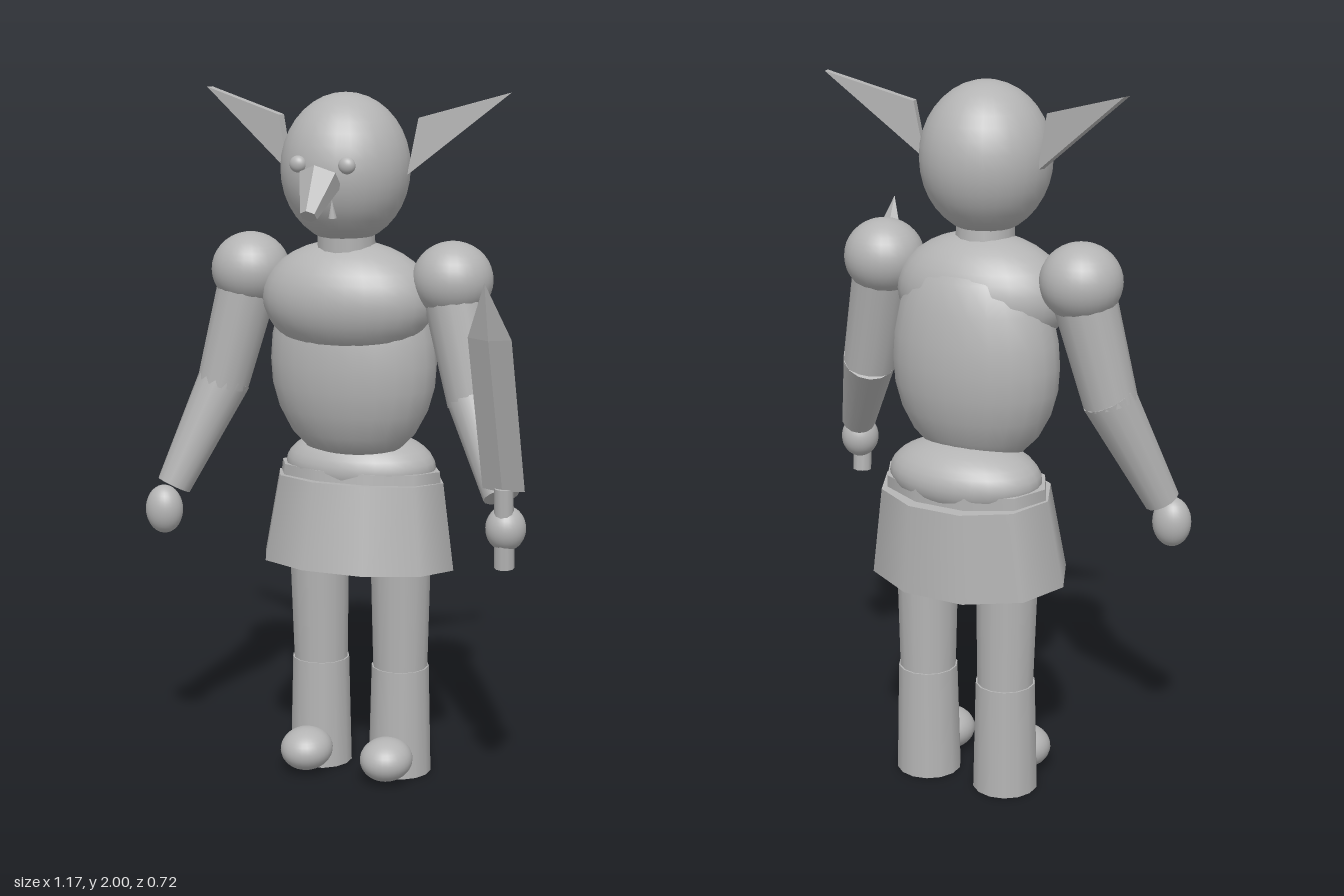
import * as THREE from 'three';

const grey = new THREE.MeshStandardMaterial({ color: 0xb4b4b4 });
grey.name = 'plain grey';

const V = (x, y, z) => new THREE.Vector3(x, y, z);

function add(parent, name, geometry, x = 0, y = 0, z = 0) {
  const mesh = new THREE.Mesh(geometry, grey);
  mesh.name = name;
  mesh.position.set(x, y, z);
  parent.add(mesh);
  return mesh;
}

// Faceted normals for the hard-edged parts
function faceted(geometry) {
  const g = geometry.index ? geometry.toNonIndexed() : geometry;
  g.computeVertexNormals();
  return g;
}

function ellipsoid(parent, name, c, r) {
  const mesh = add(parent, name, new THREE.SphereGeometry(1, 28, 18), ...c);
  mesh.scale.set(...r);
  return mesh;
}

// Tapered cylinder from point a to point b
function limb(parent, name, a, b, ra, rb, sides = 14, hard = false) {
  const dir = b.clone().sub(a);
  const g = new THREE.CylinderGeometry(rb, ra, dir.length(), sides);
  const mesh = add(parent, name, hard ? faceted(g) : g);
  mesh.position.copy(a).lerp(b, 0.5);
  mesh.quaternion.setFromUnitVectors(V(0, 1, 0), dir.normalize());
  return mesh;
}

function buildHead(body) {
  ellipsoid(body, 'head', [0, 1.79, -0.05], [0.181, 0.208, 0.183]);
  limb(body, 'neck', V(0, 1.5, -0.06), V(0, 1.64, -0.05), 0.085, 0.08);
  limb(body, 'nose', V(0, 1.775, 0.135), V(0, 1.683, 0.22), 0.06, 0.024, 6, true);
  for (const s of [1, -1]) {
    ellipsoid(body, 'eye', [s * 0.071, 1.812, 0.122], [0.024, 0.023, 0.018]);
    const tooth = add(body, 'tooth', new THREE.ConeGeometry(0.012, 0.05, 8), s * 0.03, 1.695, 0.125);
    tooth.rotation.x = 0.1;
    // Long pointed ear, swept backwards
    const shape = new THREE.Shape([
      new THREE.Vector2(0, 1.775),
      new THREE.Vector2(s * 0.282, 2.0),
      new THREE.Vector2(s * 0.03, 1.93)
    ]);
    const g = new THREE.ExtrudeGeometry(shape, { depth: 0.025, bevelEnabled: false });
    g.translate(0, 0, -0.0125);
    add(body, 'ear', g, s * 0.175, 0, -0.07).rotation.y = s * 0.22;
  }
}

function buildTorso(body) {
  ellipsoid(body, 'chest', [0, 1.423, -0.068], [0.252, 0.167, 0.173]);
  const profile = [
    [0, 0.968], [0.08, 0.972], [0.14, 0.99], [0.185, 1.035], [0.22, 1.1], [0.24, 1.17],
    [0.245, 1.24], [0.24, 1.31], [0.22, 1.4], [0.18, 1.48], [0.11, 1.54], [0, 1.565]
  ].map(p => new THREE.Vector2(...p));
  const belly = add(body, 'belly', new THREE.LatheGeometry(profile, 24), 0, 0, -0.11);
  belly.scale.z = 0.7;

  ellipsoid(body, 'hips', [0, 0.925, -0.17], [0.225, 0.105, 0.157]);
  const belt = add(body, 'belt', new THREE.CylinderGeometry(0.245, 0.25, 0.06, 10, 1, false, Math.PI / 10), 0, 0.89, -0.165);
  belt.scale.z = 0.64;
  belt.rotation.x = -0.06;
  // Ten-sided skirt, hanging slightly lower at the back
  const skirt = add(body, 'skirt', new THREE.CylinderGeometry(0.255, 0.295, 0.252, 10, 1, false, Math.PI / 10), 0, 0.762, -0.158);
  skirt.scale.z = 0.745;
  skirt.rotation.x = -0.075;
}

function buildLegs(body) {
  for (const s of [1, -1]) {
    const x = s * 0.126;
    limb(body, 'thigh', V(x, 0.3, -0.17), V(x + s * 0.002, 0.72, -0.162), 0.08, 0.09);
    limb(body, 'boot', V(x, 0, -0.17), V(x, 0.325, -0.17), 0.093, 0.085);
    ellipsoid(body, 'foot', [x, 0.07, -0.055], [0.077, 0.062, 0.081]).rotation.x = 0.1;
  }
}

function buildArms(body) {
  const arms = [
    { s: 1, wrist: V(0.507, 0.93, 0.085), hand: [0.538, 0.858, 0.14], size: [0.055, 0.062, 0.056] },
    { s: -1, wrist: V(-0.497, 0.865, 0.05), hand: [-0.518, 0.797, 0.073], size: [0.055, 0.071, 0.05] }
  ];
  for (const { s, wrist, hand, size } of arms) {
    const elbow = V(s * 0.383, 1.155, -0.05);
    ellipsoid(body, 'shoulder', [s * 0.305, 1.49, -0.083], [0.113, 0.107, 0.111]);
    limb(body, 'upperArm', V(s * 0.306, 1.47, -0.08), elbow, 0.088, 0.075);
    limb(body, 'forearm', V(s * 0.377, 1.175, -0.055), wrist, 0.076, 0.05);
    ellipsoid(body, 'hand', hand, size);
  }
}

// Short sword with a diamond cross-section, leaning forwards
function buildSword(body) {
  const x = 0.538;
  limb(body, 'swordHandle', V(x, 0.75, 0.147), V(x, 0.975, 0.164), 0.028, 0.026, 10);
  const profile = [[0, 0], [0.059, 0], [0.059, 0.455], [0, 0.614]].map(p => new THREE.Vector2(...p));
  const g = new THREE.LatheGeometry(profile, 4);
  g.scale(1, 1, 0.22);
  add(body, 'swordBlade', faceted(g), x, 0.97, 0.165).rotation.x = 0.324;
}

export function createModel() {
  const group = new THREE.Group();
  group.name = 'figure';
  const body = new THREE.Group();
  body.name = 'body';
  body.position.x = -0.012;
  group.add(body);
  buildHead(body);
  buildTorso(body);
  buildLegs(body);
  buildArms(body);
  buildSword(body);
  return group;
}
